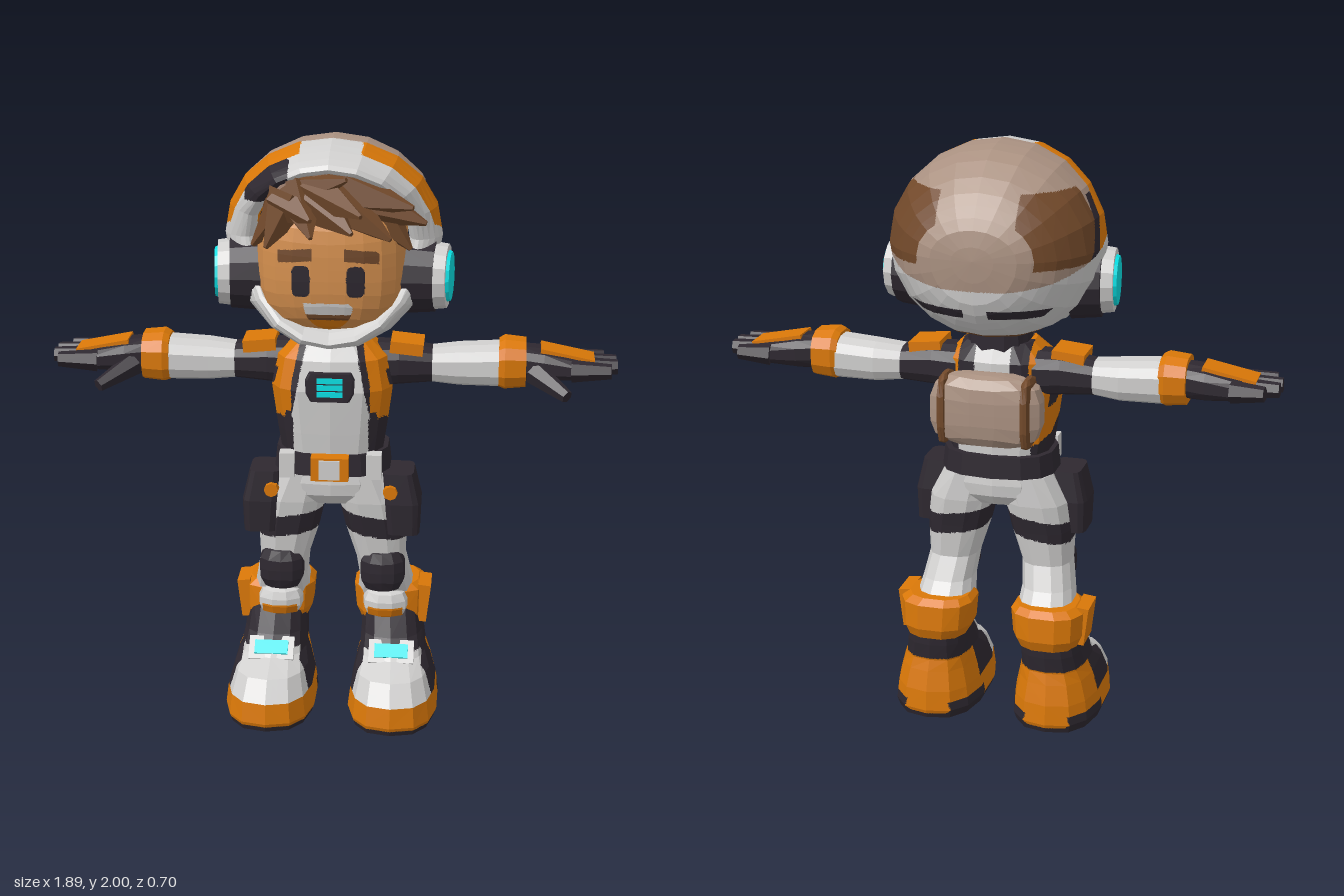
import * as THREE from 'three';

const mat = (name, color) => {
  const m = new THREE.MeshStandardMaterial({ color });
  m.name = name;
  return m;
};
const white = mat('suit white', 0xd0cfce), dark = mat('dark fabric', 0x2e2830), orange = mat('orange trim', 0xda7808);
const cyan = mat('cyan light', 0x08e0e4), taupe = mat('taupe shell', 0xaa9181), brown = mat('brown panel', 0x72492a);
const hair = mat('hair brown', 0x71492b), skin = mat('skin', 0xd48f4e);

// Splits facets where the colour rule changes; returns a flat-shaded mesh
function paint(name, geo, rule, mirror = false, forced = 2) {
  const g = geo.index ? geo.toNonIndexed() : geo;
  const p = g.attributes.position, out = new Map();
  const pick = (v) => (typeof rule === 'function' ? rule(v.x, v.y, v.z) : rule);
  const mid = (a, b) => a.clone().add(b).multiplyScalar(0.5);
  const emit = (a, b, c, depth) => {
    const m = pick(a.clone().add(b).add(c).divideScalar(3));
    const mixed = [a, b, c].some((v) => pick(v) !== m);
    if (typeof rule === 'function' && depth < 4 && (depth < forced || mixed)) {
      const ab = mid(a, b), bc = mid(b, c), ca = mid(c, a);
      emit(a, ab, ca, depth + 1);
      emit(ab, b, bc, depth + 1);
      emit(ca, bc, c, depth + 1);
      emit(ab, bc, ca, depth + 1);
      return;
    }
    if (!out.has(m)) out.set(m, []);
    for (const v of mirror ? [a, c, b] : [a, b, c]) out.get(m).push(mirror ? -v.x : v.x, v.y, v.z);
  };
  const at = (i) => new THREE.Vector3().fromBufferAttribute(p, i);
  for (let i = 0; i < p.count; i += 3) emit(at(i), at(i + 1), at(i + 2), 0);
  const res = new THREE.BufferGeometry(), all = [], mats = [...out.keys()];
  mats.forEach((m, k) => {
    res.addGroup(all.length / 3, out.get(m).length / 3, k);
    for (const v of out.get(m)) all.push(v);
  });
  res.setAttribute('position', new THREE.Float32BufferAttribute(all, 3));
  res.computeVertexNormals();
  const mesh = new THREE.Mesh(res, mats.length > 1 ? mats : mats[0]);
  mesh.name = name;
  return mesh;
}

// Stacks rounded cross-sections [x, y, z, halfX, halfZ] upward and caps both ends
function loft(sections, n = 12, p = 2.6) {
  const pos = [], idx = [];
  const pw = (v) => Math.sign(v) * Math.abs(v) ** (2 / p);
  for (const [x, y, z, a, b] of sections)
    for (let i = 0; i < n; i++) {
      const t = ((i + 0.5) / n) * Math.PI * 2;
      pos.push(x + a * pw(Math.cos(t)), y, z + b * pw(Math.sin(t)));
    }
  const last = sections.length - 1, c0 = pos.length / 3;
  for (const s of [sections[0], sections[last]]) pos.push(s[0], s[1], s[2]);
  for (let i = 0; i < n; i++) {
    const j = (i + 1) % n;
    for (let k = 0; k < last; k++) {
      const a = k * n + i, b = k * n + j;
      idx.push(a, a + n, b, b, a + n, b + n);
    }
    idx.push(c0, i, j, c0 + 1, last * n + j, last * n + i);
  }
  const g = new THREE.BufferGeometry();
  g.setAttribute('position', new THREE.Float32BufferAttribute(pos, 3));
  g.setIndex(idx);
  return g;
}
// Same along +x: sections are [x, y, z, halfY, halfZ]
const loftX = (list, n) => loft(list.map(([x, y, z, a, b]) => [-y, x, z, a, b]), n).rotateZ(-Math.PI / 2);

// Moves every vertex by a rule
function bend(g, f) {
  const p = g.attributes.position, v = new THREE.Vector3();
  for (let i = 0; i < p.count; i++) {
    f(v.fromBufferAttribute(p, i));
    p.setXYZ(i, v.x, v.y, v.z);
  }
  return g;
}
// Rounded-square ellipsoid
function blob(x, y, z, rx, ry, rz, p = 2.6, seg = 12) {
  const g = bend(new THREE.SphereGeometry(1, seg, Math.round(seg * 0.7)), (v) =>
    v.divideScalar((Math.abs(v.x) ** p + Math.abs(v.y) ** p + Math.abs(v.z) ** p) ** (1 / p)));
  return g.scale(rx, ry, rz).translate(x, y, z);
}
// Tapered rod between two points
function rod(a, b, r1, r2, n = 6) {
  const p = new THREE.Vector3(...a), d = new THREE.Vector3(...b).sub(p), len = d.length();
  const q = new THREE.Quaternion().setFromUnitVectors(new THREE.Vector3(0, 1, 0), d.normalize());
  return new THREE.CylinderGeometry(r2, r1, len, n).translate(0, len / 2, 0).applyQuaternion(q).translate(p.x, p.y, p.z);
}
const box = (x, y, z, w, h, d, rx = 0, rz = 0) =>
  new THREE.BoxGeometry(w, h, d).rotateX(rx).rotateZ(rz).translate(x, y, z);

export function createModel() {
  const root = new THREE.Group();
  root.name = 'astronaut';
  const add = (name, geo, rule, forced) => root.add(paint(name, geo, rule, false, forced));
  const pair = (name, geo, rule) => {
    root.add(paint('left ' + name, geo, rule), paint('right ' + name, geo, rule, true));
  };

  // Helmet: a shell turned about z, opening swept back at the sides, crown rounded, chin guard low
  const prof = [[0, -0.345], [0.42, -0.335], [0.64, -0.3], [0.8, -0.25], [0.95, -0.15], [1, -0.04], [1, 0.06],
    [0.95, 0.15], [0.86, 0.22], [0.78, 0.24], [0.73, 0.2], [0.7, 0.08]].map((q) => new THREE.Vector2(...q));
  const shell = bend(new THREE.LatheGeometry(new THREE.SplineCurve(prof).getPoints(20), 20).rotateX(Math.PI / 2), (v) => {
    const s2 = v.x ** 2 / (v.x ** 2 + v.y ** 2 + 1e-9), front = Math.max(v.z, 0), back = Math.max(-v.z, 0) / 0.3;
    if (v.y < 0) v.y *= 1 + 1.05 * front;
    else v.y *= 1 - 0.24 * back ** 3;
    if (v.z > 0) v.z *= 1 - 0.62 * s2 ** 1.7;
    v.x *= 0.355 * (1 - 0.08 * back ** 3);
    v.y = Math.max(1.385 - 0.17 * front, 1.68 + 0.32 * v.y);
  });
  add('helmet', shell, (x, y, z) => {
    const ax = Math.abs(x), edge = 0.05 - 0.4 * (2 - y);
    if (y < 1.405 && z < -0.06) return brown;
    if (y > 1.485 && y < 1.515 && z < -0.22 && ax > 0.04) return dark;
    if (y < 1.58 + 0.36 * (z + 0.34)) return white;
    if (z > edge) {
      if (ax > 0.1 && z < edge + 0.12) return orange;
      return x < -0.13 && x > -0.28 && y > 1.81 && y < 1.95 && z > 0.08 ? dark : white;
    }
    if (ax > 0.2 && y < 1.85 && z > edge - 0.045) return dark;
    return ax > 0.13 && z > -0.31 && z < -0.075 && y > 1.65 && y < 1.88 ? brown : taupe;
  }, 1);

  // Ear pads
  const disc = (x, z, r, h) => new THREE.CylinderGeometry(r * 0.93, r, h, 14).rotateZ(-Math.PI / 2).rotateY(-0.1).translate(x, 1.55, z);
  pair('ear cushion', disc(0.29, 0.025, 0.13, 0.1), dark);
  pair('ear ring', disc(0.348, 0.04, 0.113, 0.06), white);
  pair('ear light', disc(0.38, 0.042, 0.087, 0.018), cyan);

  // Head with face
  add('head', blob(0, 1.615, 0.03, 0.245, 0.25, 0.222, 3, 28), (x, y, z) => {
    const ax = Math.abs(x), v = y - 1.502;
    if (z < 0.08) return skin;
    if (((ax - 0.088) / 0.03) ** 4 + ((y - 1.575) / 0.051) ** 4 < 1) return dark;
    if (Math.abs(ax - 0.107) < 0.055 && Math.abs(y - 1.658 + 0.1 * (ax - 0.1)) < 0.02) return hair;
    if (v < 0 && (x / 0.08) ** 2 + (v / 0.098) ** 2 < 1) return v > -0.04 ? white : v > -0.06 ? brown : orange;
    return skin;
  }, 1);

  // Hair: cap and swept tufts [base, tip, radius]
  add('hair cap', blob(0, 1.8, 0.06, 0.235, 0.095, 0.2, 2.4, 10), hair);
  const tufts = [
    [-0.13, 1.82, 0.17, -0.25, 1.67, 0.16, 0.075], [-0.12, 1.83, 0.18, -0.2, 1.68, 0.24, 0.085],
    [-0.1, 1.84, 0.18, -0.05, 1.73, 0.31, 0.09], [-0.05, 1.83, 0.18, 0.08, 1.75, 0.33, 0.09],
    [-0.04, 1.85, 0.19, 0.11, 1.81, 0.35, 0.08], [0.03, 1.82, 0.18, 0.2, 1.72, 0.27, 0.09],
    [0.06, 1.85, 0.16, 0.27, 1.82, 0.25, 0.085], [0.12, 1.82, 0.16, 0.31, 1.76, 0.2, 0.08],
    [0.15, 1.79, 0.14, 0.26, 1.67, 0.18, 0.075], [-0.1, 1.85, 0.18, 0.06, 1.91, 0.27, 0.07],
    [-0.13, 1.82, 0.18, -0.05, 1.79, 0.33, 0.08],
  ];
  for (const t of tufts) add('hair tuft', rod(t.slice(0, 3), t.slice(3, 6), t[6], 0.008, 5), hair);

  // Torso with vest straps
  add('neck', loft([[0, 1.28, 0, 0.11, 0.1], [0, 1.42, 0, 0.1, 0.1]]), dark);
  add('torso', loft([[0, 0.9, 0.02, 0.165, 0.13], [0, 1.03, 0.025, 0.185, 0.14], [0, 1.18, 0.03, 0.205, 0.15],
    [0, 1.28, 0.02, 0.185, 0.14], [0, 1.34, 0.01, 0.12, 0.1]], 14), (x, y, z) => {
    const ax = Math.abs(x), inner = 0.11 + 0.2 * (1.3 - y);
    if (ax > 0.13 && Math.abs(y - 1.09 - 0.5 * z) < 0.055) return orange;
    if (y < 1.08) return ax > 0.125 ? dark : white;
    if (z < 0 && ax < 0.12) return ax < 0.06 ? white : dark;
    if (ax < inner - 0.022) return white;
    return ax < inner || (Math.abs(z - 0.02) < 0.07 && y < 1.24) ? dark : orange;
  });
  add('chest panel', loft([[0, 1.152, 0.172, 0.065, 0.016], [0, 1.18, 0.172, 0.08, 0.016], [0, 1.225, 0.172, 0.082, 0.016],
    [0, 1.248, 0.172, 0.07, 0.016]], 12, 6), dark);
  for (const y of [1.179, 1.202, 1.225]) add('chest light', box(0, y, 0.188, 0.085, 0.018, 0.008), cyan);

  // Backpack with straps
  add('backpack', blob(0, 1.14, -0.17, 0.19, 0.122, 0.073, 3.6, 14), taupe);
  for (const x of [-0.14, 0.14]) add('backpack strap', blob(x, 1.14, -0.17, 0.02, 0.12, 0.076, 4, 12), brown);

  // Hips and belt
  add('hips', blob(0, 0.85, 0.02, 0.185, 0.1, 0.135), white);
  add('belt', loft([[0, 0.885, 0.015, 0.198, 0.155], [0, 0.96, 0.015, 0.19, 0.15]], 14), dark);
  add('buckle', box(0, 0.922, 0.18, 0.125, 0.08, 0.05), orange);
  add('buckle plate', box(0, 0.922, 0.207, 0.07, 0.066, 0.008), white);
  pair('belt pouch', box(0.145, 0.922, 0.145, 0.05, 0.085, 0.05), white);
  pair('hip bag', loft([[0.242, 0.67, 0.06, 0.056, 0.08], [0.238, 0.78, 0.06, 0.064, 0.085], [0.224, 0.885, 0.06, 0.053, 0.075]], 12, 5), dark);
  pair('bag button', rod([0.2, 0.825, 0.12], [0.2, 0.825, 0.153], 0.026, 0.024, 8), orange);

  // Arms and gloves
  pair('arm', loftX([[0.13, 1.235, -0.01, 0.08, 0.085], [0.22, 1.24, -0.01, 0.073, 0.08], [0.33, 1.235, -0.015, 0.06, 0.068],
    [0.42, 1.235, -0.02, 0.07, 0.078], [0.57, 1.24, -0.015, 0.075, 0.082]]), (x) => (x < 0.33 ? dark : white));
  pair('shoulder pad', box(0.245, 1.302, -0.005, 0.11, 0.04, 0.13, 0, -0.1), orange);
  pair('cuff', loftX([[0.55, 1.245, -0.01, 0.078, 0.085], [0.57, 1.247, -0.01, 0.087, 0.094], [0.64, 1.247, -0.01, 0.08, 0.088]]), orange);
  pair('palm', loftX([[0.62, 1.25, -0.01, 0.06, 0.065], [0.7, 1.245, -0.01, 0.058, 0.08], [0.82, 1.238, -0.01, 0.038, 0.092]]), dark);
  pair('hand plate', box(0.775, 1.277, -0.008, 0.18, 0.026, 0.105, 0, -0.2), orange);
  [0.92, 0.943, 0.94, 0.9].forEach((tip, i) => {
    const z = 0.062 - i * 0.048;
    pair('finger', rod([0.79, 1.24, z], [tip, 1.245, z * 1.2], 0.038, 0.025), dark);
  });
  pair('thumb', rod([0.67, 1.225, 0.04], [0.775, 1.175, 0.14], 0.042, 0.022), dark);

  // Legs
  pair('leg', loft([[0.19, 0.33, -0.08, 0.09, 0.1], [0.18, 0.42, -0.052, 0.098, 0.108], [0.177, 0.48, -0.015, 0.088, 0.1],
    [0.165, 0.56, 0.018, 0.085, 0.095], [0.148, 0.68, 0.02, 0.107, 0.11], [0.13, 0.78, 0.02, 0.112, 0.125], [0.1, 0.88, 0.02, 0.09, 0.125]]),
  (x, y) => (Math.abs(y - 0.69 - 0.15 * (0.15 - x)) < 0.037 ? dark : white));
  pair('knee pad', blob(0.173, 0.525, 0.07, 0.077, 0.082, 0.067, 3), dark);
  pair('shin guard', blob(0.182, 0.385, 0.025, 0.078, 0.055, 0.068, 3, 10),
    (x, y) => (y < 0.378 && Math.abs(x - 0.182) < 0.06 ? orange : white));

  // Boots
  pair('boot', loft([[0.212, 0, 0.05, 0.147, 0.25], [0.212, 0.03, 0.05, 0.157, 0.26], [0.212, 0.1, 0.048, 0.148, 0.253],
    [0.21, 0.17, 0.03, 0.13, 0.22], [0.207, 0.21, -0.01, 0.115, 0.17], [0.203, 0.27, -0.045, 0.108, 0.143],
    [0.198, 0.36, -0.07, 0.1, 0.12]], 14), (x, y, z) => {
    if (y < 0.018 || (y < 0.06 && z < 0 && z > -0.19)) return dark;
    if (y < 0.1) return orange;
    if (y < 0.215 && z < -0.03) return orange;
    const toe = Math.abs(x - 0.21) > 0.1 ? 0.15 : 0.09;
    return y < 0.23 && z > toe - 0.3 * (y - 0.15) ? white : dark;
  });
  pair('boot cuff', loft([[0.198, 0.298, -0.075, 0.105, 0.12], [0.197, 0.335, -0.08, 0.122, 0.13], [0.195, 0.42, -0.08, 0.128, 0.125],
    [0.19, 0.44, -0.075, 0.105, 0.105]]), orange);
  pair('cuff pad', box(0.307, 0.368, -0.05, 0.045, 0.135, 0.12, 0, -0.12), orange);
  pair('instep plate', box(0.207, 0.22, 0.112, 0.155, 0.045, 0.085, 0.75), white);
  pair('instep light', box(0.207, 0.238, 0.129, 0.115, 0.008, 0.05, 0.75), cyan);

  return root;
}
